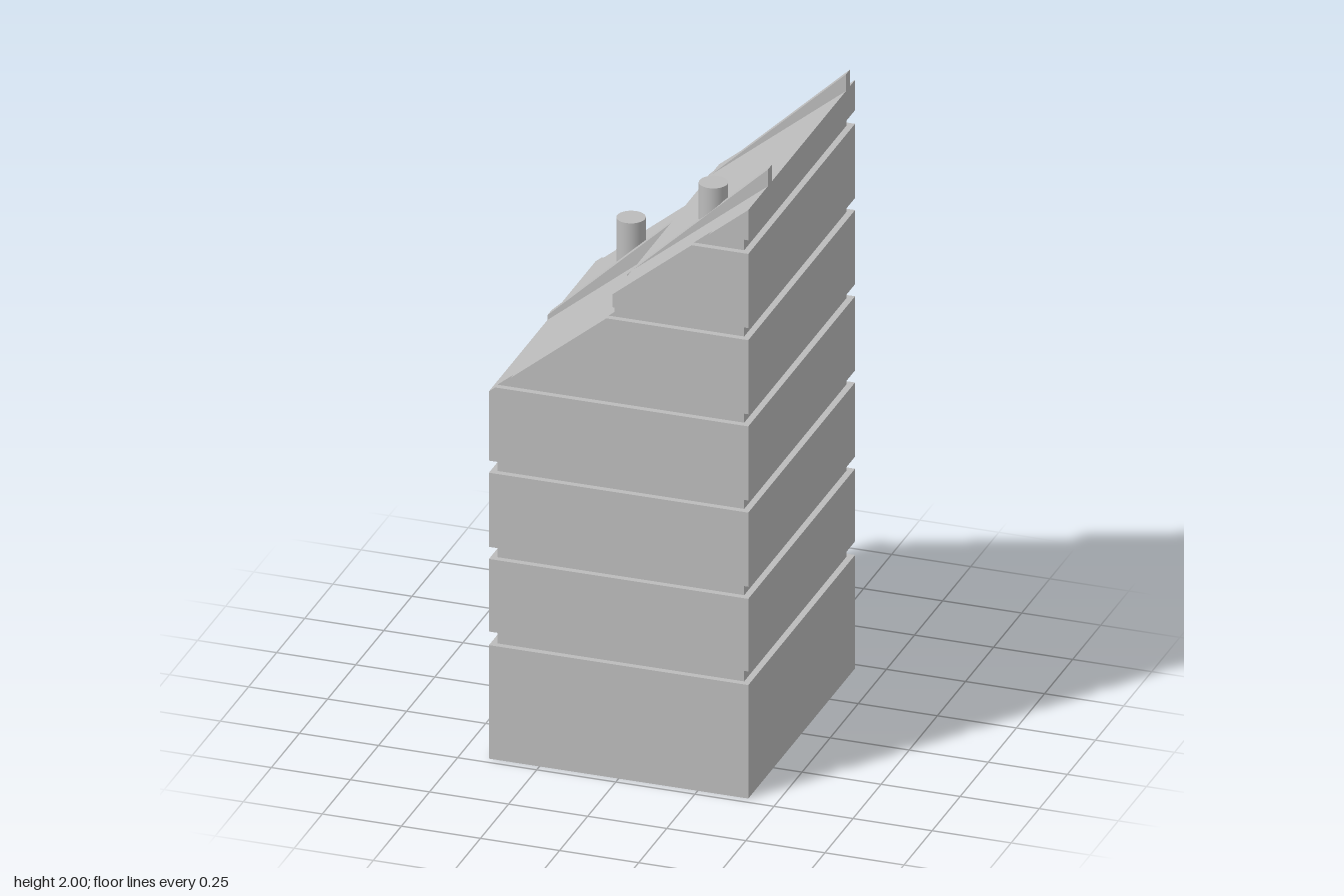
import * as THREE from 'three';

const X = 0.41, Z = 0.475, INSET = 0.02;      // half width, half depth, groove depth
const HOLE_X = 0.25, HOLE_Z = 0.31;           // half size of the hollow inside
// roof outline seen from the front: lower slope, step, upper slope
const ROOF = [[-X, 1.214], [-0.02, 1.53], [-0.02, 1.597], [X, 1.945]];
// levels where the wall changes between a full band and a recessed groove
const RING_LEVELS = [0, 0.375, 0.42, 0.66, 0.70, 0.945, 0.985, 1.214];
const ROOF_LEVELS = [1.214, 1.23, 1.27, 1.515, 1.555, 1.80, 1.845, 1.945];

export function createModel() {
  const group = new THREE.Group();
  const grey = new THREE.MeshStandardMaterial({ color: 0xbcbcbc });
  grey.name = 'stone grey';

  const add = (name, geometry, x = 0, y = 0, z = 0) => {
    const mesh = new THREE.Mesh(geometry, grey);
    mesh.name = name;
    mesh.position.set(x, y, z);
    group.add(mesh);
  };
  const shapeOf = (points) => new THREE.Shape(points.map(([x, y]) => new THREE.Vector2(x, y)));
  const rect = (a, b) => [[-a, -b], [a, -b], [a, b], [-a, b]];
  // front outline extruded symmetrically about depth z
  const prism = (name, points, halfDepth, z = 0) =>
    add(name, new THREE.ExtrudeGeometry(shapeOf(points), { depth: halfDepth * 2, bevelEnabled: false }), 0, 0, z - halfDepth);

  // hollow lower walls: full bands alternating with grooves
  for (let i = 0; i < RING_LEVELS.length - 1; i++) {
    const inset = i % 2 ? INSET : 0;
    const shape = shapeOf(rect(X - inset, Z - inset));
    shape.holes.push(new THREE.Path(shapeOf(rect(HOLE_X, HOLE_Z)).getPoints()));
    const geometry = new THREE.ExtrudeGeometry(shape, { depth: RING_LEVELS[i + 1] - RING_LEVELS[i], bevelEnabled: false });
    geometry.rotateX(-Math.PI / 2);
    add(inset ? 'wallGroove' : 'wallBand', geometry, 0, RING_LEVELS[i], 0);
  }

  // x of the roof outline at height y
  const roofX = (y) => {
    for (let i = 0; i < ROOF.length - 1; i++) {
      const [x0, y0] = ROOF[i], [x1, y1] = ROOF[i + 1];
      if (y <= y1) return x0 + (x1 - x0) * (y - y0) / (y1 - y0);
    }
    return X;
  };

  // upper walls sliced by the sloping roof
  for (let i = 0; i < ROOF_LEVELS.length - 1; i++) {
    const y0 = ROOF_LEVELS[i], y1 = ROOF_LEVELS[i + 1];
    const inset = i % 2 ? INSET : 0;
    const right = X - inset;
    const points = [[roofX(y0), y0], [right, y0]];
    if (roofX(y1) < right - 1e-4) points.push([right, y1]);
    points.push([roofX(y1), y1]);
    points.push(...ROOF.filter(([, y]) => y > y0 + 1e-4 && y < y1 - 1e-4).reverse());
    prism(inset ? 'roofGroove' : 'roofBand', points, Z - inset);
  }

  // roof ribs, steeper than the roof so that they rise out of it
  const ribY = (x) => 1.23 + (x + X) * 0.939;
  const rib = (name, x0, x1, bottom0, bottom1, z, halfWidth) =>
    prism(name, [[x0, bottom0], [x1, bottom1], [x1, ribY(x1)], [x0, ribY(x0)]], halfWidth, z);
  rib('lowerRib', -X, -0.015, 1.2, 1.51, -0.065, 0.019);
  for (const z of [0.283, -0.412]) rib('upperRib', -0.035, X, 1.5, 1.9, z, 0.018);

  // chimneys
  for (const [x, top, z] of [[-0.22, 1.49, -0.255], [0.22, 1.905, 0.25]]) {
    const height = 0.19;
    add('chimney', new THREE.CylinderGeometry(0.044, 0.044, height, 32), x, top - height / 2, z);
  }
  return group;
}
